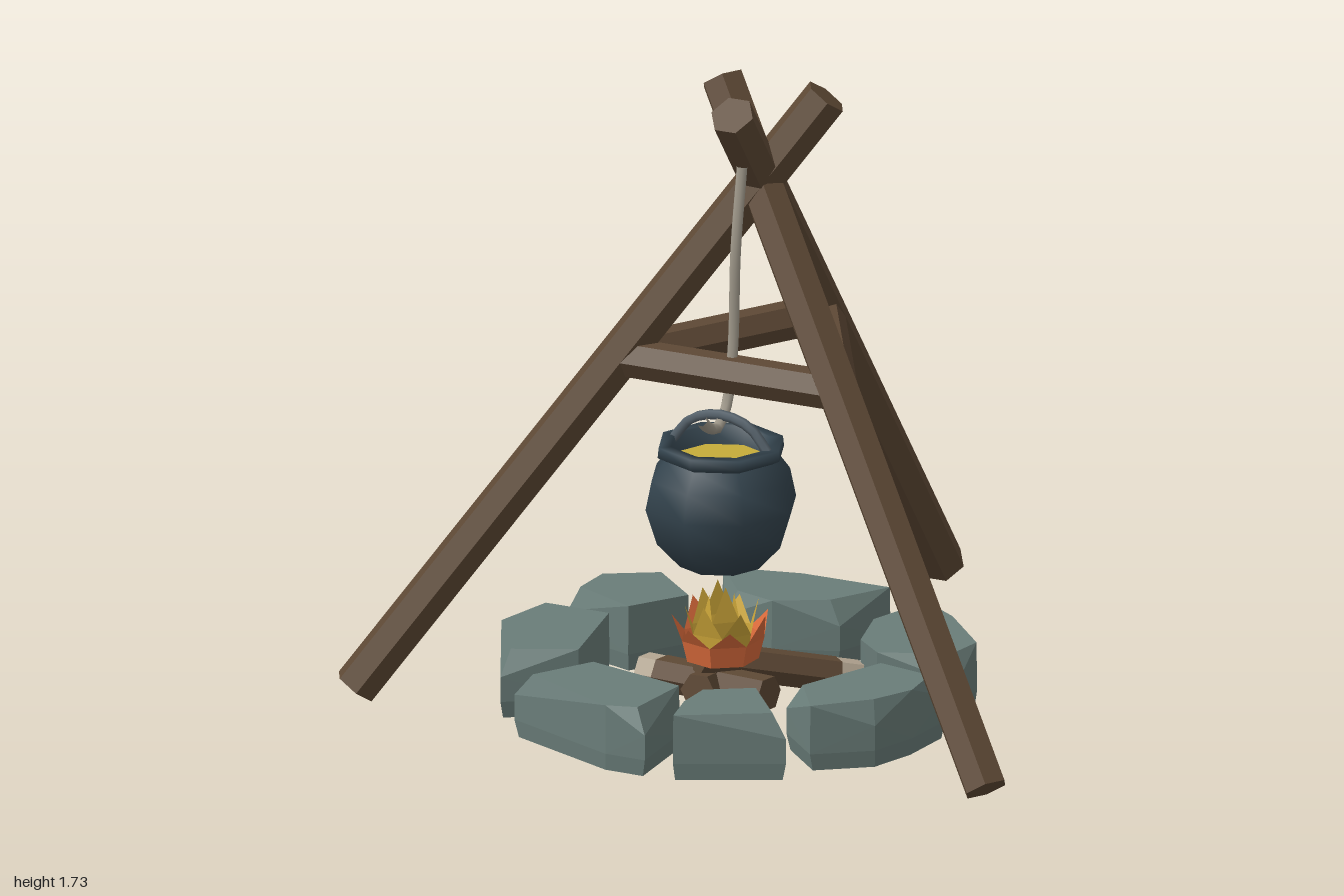
import * as THREE from 'three';
import { ConvexGeometry } from 'three/addons/geometries/ConvexGeometry.js';

const V = (x, y, z) => new THREE.Vector3(x, y, z);

function material(name, color, extra = {}) {
  const m = new THREE.MeshStandardMaterial({ color, ...extra });
  m.name = name;
  return m;
}

function add(parent, name, geometry, mat) {
  const mesh = new THREE.Mesh(geometry, mat);
  mesh.name = name;
  parent.add(mesh);
  return mesh;
}

// Six-sided beam between two points, with a pair of edges kept level
function beam(a, b, radius, sides = 6) {
  const y = b.clone().sub(a);
  const g = new THREE.CylinderGeometry(radius, radius, y.length(), sides).toNonIndexed();
  g.rotateY(Math.PI / 2);
  y.normalize();
  const x = V(0, 1, 0).cross(y).normalize();
  const z = x.clone().cross(y);
  g.applyMatrix4(new THREE.Matrix4().makeBasis(x, y, z));
  const mid = a.clone().add(b).multiplyScalar(0.5);
  g.translate(mid.x, mid.y, mid.z);
  g.computeVertexNormals();
  return g;
}

// Ring of pointed flame tongues: base ring, valley ring and tips
function flameCrown(n, base, valley, tip, heights, turn) {
  const at = (r, y, k) => {
    const a = (k / n) * Math.PI * 2 + turn;
    return [Math.sin(a) * r, y, Math.cos(a) * r];
  };
  const pos = [];
  for (let i = 0; i < n; i++) {
    const b0 = at(...base, i), b1 = at(...base, i + 1);
    const v0 = at(...valley, i), v1 = at(...valley, i + 1);
    const t = at(tip, heights[i % heights.length], i + 0.5);
    pos.push(...b0, ...b1, ...v1, ...b0, ...v1, ...v0, ...v0, ...v1, ...t);
  }
  const g = new THREE.BufferGeometry();
  g.setAttribute('position', new THREE.Float32BufferAttribute(pos, 3));
  g.computeVertexNormals();
  return g;
}

// Stone slab from a ground outline, with alternate upper corners chipped off
function stone(outline) {
  const cx = outline.reduce((s, p) => s + p[0], 0) / outline.length;
  const cz = outline.reduce((s, p) => s + p[1], 0) / outline.length;
  const pts = [];
  outline.forEach(([x, z], i) => {
    const put = (k, y) => pts.push(V(cx + (x - cx) * k, y, cz + (z - cz) * k));
    put(0.95, 0.012);
    put(1, 0.06);
    if (i % 2) {
      put(1, 0.13);
      put(0.8, 0.197);
    } else put(0.99, 0.197);
  });
  return new ConvexGeometry(pts);
}

export function createModel() {
  const model = new THREE.Group();
  model.name = 'campfire';
  const double = { side: THREE.DoubleSide };
  const wood = material('brown wood', 0x5e4935);
  const cutWood = material('pale cut wood', 0xb3a591);
  const rock = material('grey green stone', 0x6a7d79);
  const iron = material('dark iron', 0x34444e);
  const handleIron = material('handle iron', 0x56626b);
  const hookMat = material('pale grey hook', 0xa19a8c);
  const soupMat = material('yellow soup', 0xc6ac3a);
  const orange = material('orange flame', 0xdc6c3c, double);
  const yellow = material('yellow flame', 0xcfa83a, double);

  // Tripod: three crossing legs joined by three rails
  const legs = [
    ['leftLeg', V(0.95, 0.05, 0.71), V(-0.165, 1.71, 0.11)],
    ['rightLeg', V(-0.95, 0.05, 0.74), V(0.15, 1.71, 0.11)],
    ['backLeg', V(-0.03, 0.05, -0.905), V(0, 1.71, 0.37)],
  ];
  const tripod = new THREE.Group();
  tripod.name = 'tripod';
  model.add(tripod);
  for (const [name, a, b] of legs) add(tripod, name, beam(a, b, 0.062), wood);
  const joints = legs.map(([, a, b]) => a.clone().lerp(b, 0.56));
  ['frontRail', 'rightRail', 'leftRail'].forEach((name, i) =>
    add(tripod, name, beam(joints[i], joints[(i + 1) % 3], 0.054), wood));

  // Cauldron with hollow neck and rolled rim
  const pot = new THREE.Group();
  pot.name = 'cauldron';
  pot.position.set(0, 0, 0.435);
  model.add(pot);
  const lathe = (list) =>
    new THREE.LatheGeometry(list.map(([r, y]) => new THREE.Vector2(r, y)), 8);
  add(pot, 'potBody', lathe([[0, 0.46], [0.115, 0.46], [0.18, 0.53], [0.212, 0.63],
    [0.195, 0.71], [0.155, 0.765]]), iron);
  add(pot, 'potRim', lathe([[0.15, 0.76], [0.178, 0.775], [0.175, 0.803],
    [0.14, 0.803], [0.128, 0.74]]), iron);
  const soup = add(pot, 'soup', new THREE.CircleGeometry(0.135, 8), soupMat);
  soup.rotation.x = -Math.PI / 2;
  soup.position.y = 0.755;

  // Bail handle over the pot
  const bail = new THREE.CatmullRomCurve3([V(-0.145, 0.79, 0), V(-0.09, 0.855, 0),
    V(0, 0.88, 0), V(0.09, 0.855, 0), V(0.145, 0.79, 0)]);
  add(pot, 'potHandle', new THREE.TubeGeometry(bail, 10, 0.014, 6), handleIron);

  // Hanging hook from the tripod top, curling forward under the handle
  const hook = new THREE.CatmullRomCurve3([V(0.004, 1.55, 0.32), V(0.003, 1.32, 0.355),
    V(0, 1.05, 0.365), V(0, 0.9, 0.4), V(0, 0.85, 0.45), V(0, 0.86, 0.5), V(0, 0.895, 0.545)]);
  add(model, 'hook', new THREE.TubeGeometry(hook, 24, 0.016, 6), hookMat);

  // Crossed firewood with pale tips
  const logs = [
    [V(0.25, 0.08, 0.12), V(-0.05, 0.19, 0.46)],
    [V(-0.26, 0.1, 0.38), V(0.16, 0.12, 0.46)],
    [V(-0.07, 0.055, 0.07), V(-0.02, 0.12, 0.53)],
  ];
  const firewood = new THREE.Group();
  firewood.name = 'firewood';
  model.add(firewood);
  logs.forEach(([a, b], i) => {
    const split = i < 2 ? 0.14 : 0.02;
    const m = a.clone().lerp(b, split);
    add(firewood, 'log', beam(m, b, 0.05), wood);
    add(firewood, 'logTip', beam(a, m, 0.048), cutWood);
  });

  // Fire: nested crowns of flame tongues
  const fire = new THREE.Group();
  fire.name = 'fire';
  fire.position.set(0, 0, 0.43);
  model.add(fire);
  add(fire, 'outerFlames', flameCrown(7, [0.1, 0.19], [0.115, 0.25], 0.135,
    [0.3, 0.33, 0.31], 0.2), orange);
  add(fire, 'middleFlames', flameCrown(6, [0.08, 0.19], [0.09, 0.27], 0.1,
    [0.34, 0.36], 0.5), yellow);
  add(fire, 'innerFlames', flameCrown(4, [0.04, 0.19], [0.055, 0.3], 0.035,
    [0.4, 0.37], 0), yellow);

  // Ring of stones, each an outline of x, z corners
  const outlines = [
    [[-0.34, -0.22], [-0.13, -0.3], [0.14, -0.28], [0.08, -0.1], [-0.09, -0.03], [-0.24, -0.04]],
    [[0.28, -0.22], [0.4, -0.18], [0.56, 0.02], [0.58, 0.17], [0.36, 0.22], [0.18, -0.03]],
    [[-0.31, 0.03], [-0.46, -0.14], [-0.6, -0.02], [-0.63, 0.12], [-0.41, 0.19]],
    [[-0.43, 0.26], [-0.65, 0.22], [-0.66, 0.45], [-0.53, 0.7], [-0.36, 0.57], [-0.4, 0.48]],
    [[-0.28, 0.64], [-0.43, 0.81], [-0.08, 0.95], [0.04, 0.95], [0.02, 0.71]],
    [[0.21, 0.63], [0.39, 0.8], [0.12, 0.94], [0.07, 0.83], [0.09, 0.71]],
    [[0.41, 0.29], [0.6, 0.28], [0.59, 0.45], [0.55, 0.59], [0.41, 0.7], [0.27, 0.57]],
  ];
  const ring = new THREE.Group();
  ring.name = 'stoneRing';
  model.add(ring);
  outlines.forEach((o) => add(ring, 'stone', stone(o), rock));

  return model;
}
